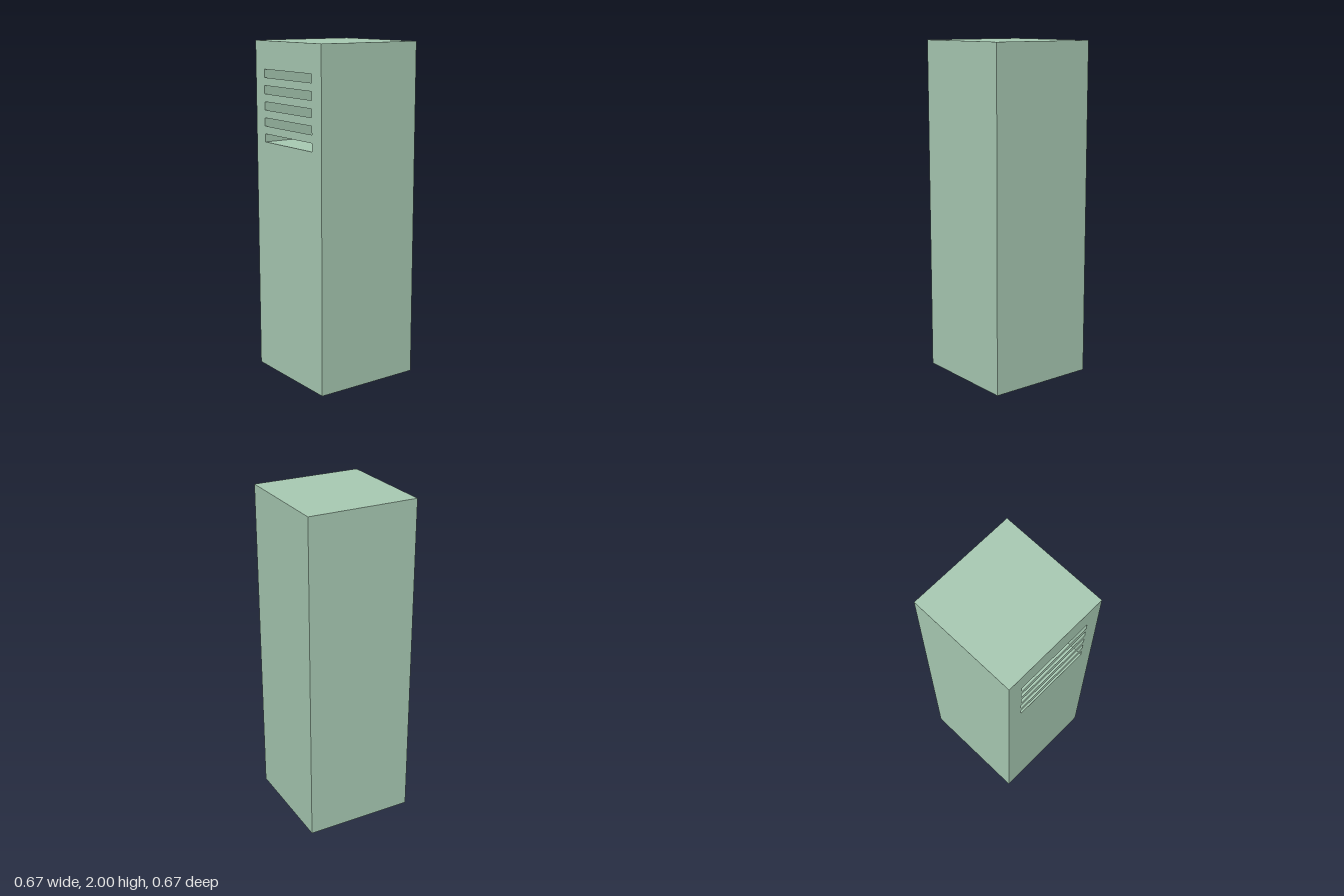
import * as THREE from 'three';

const WIDTH = 0.666, HEIGHT = 2, DEPTH = 0.666;
const FRONT = DEPTH / 2;
const SLOT = { halfWidth: 0.241, height: 0.048, bottom: 1.409, pitch: 0.0947, count: 5 };
const COLOR = 0xa8cab3;

// Box whose front (+z) side is left open
function openBox(width, height, depth) {
  const geometry = new THREE.BoxGeometry(width, height, depth);
  const index = Array.from(geometry.index.array);
  index.splice(24, 6);
  geometry.setIndex(index);
  geometry.clearGroups();
  return geometry;
}

function rectangle(path, x0, y0, x1, y1) {
  path.moveTo(x0, y0);
  path.lineTo(x1, y0);
  path.lineTo(x1, y1);
  path.lineTo(x0, y1);
  path.closePath();
  return path;
}

export function createModel() {
  const model = new THREE.Group();
  model.name = 'locker';

  function add(name, geometry, side) {
    const material = new THREE.MeshStandardMaterial({ color: COLOR, side });
    const mesh = new THREE.Mesh(geometry, material);
    mesh.name = name;
    model.add(mesh);
    return mesh;
  }

  // Outer cabinet: back, sides, top and bottom
  add('cabinet', openBox(WIDTH, HEIGHT, DEPTH), THREE.FrontSide).position.y = HEIGHT / 2;

  // Front panel with a stack of vent slots
  const panel = rectangle(new THREE.Shape(), -WIDTH / 2, 0, WIDTH / 2, HEIGHT);
  for (let i = 0; i < SLOT.count; i++) {
    const y = SLOT.bottom + i * SLOT.pitch;
    panel.holes.push(rectangle(new THREE.Path(), -SLOT.halfWidth, y, SLOT.halfWidth, y + SLOT.height));
  }
  add('ventedFront', new THREE.ShapeGeometry(panel), THREE.DoubleSide).position.z = FRONT;

  // Hollow compartment behind the slots, seen from inside
  const depth = 0.545;
  const height = (SLOT.count - 1) * SLOT.pitch + SLOT.height;
  add('ventCompartment', openBox(SLOT.halfWidth * 2, height, depth), THREE.BackSide)
    .position.set(0, SLOT.bottom + height / 2, FRONT - depth / 2);

  return model;
}
